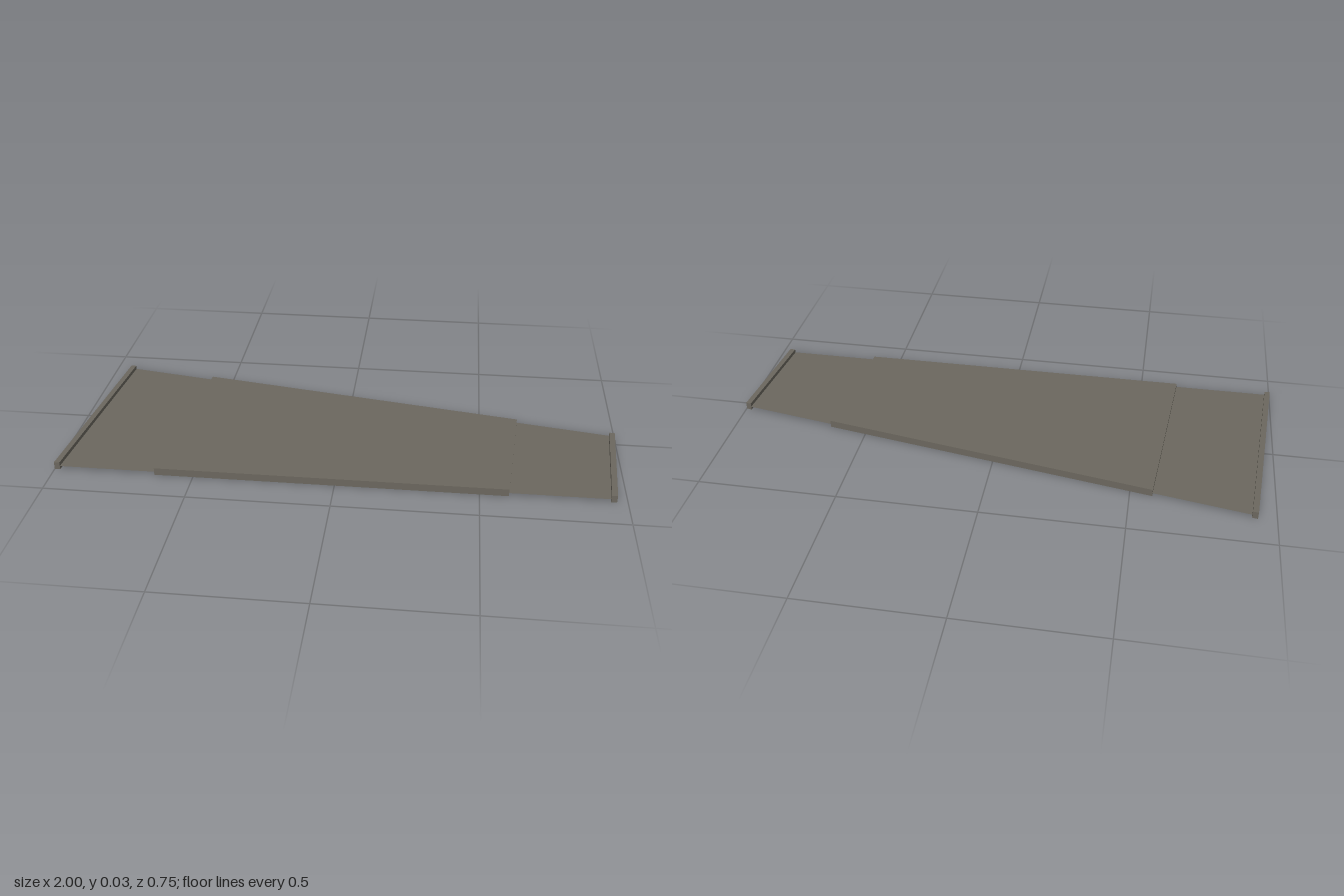
import * as THREE from 'three';

const FRONT = 0.377, LEAN = 0.086, HEIGHT = 0.027;

// Corners of a slanted strip whose front edge runs from x0 to x1,
// clipped at the back by the slanting rear edge.
function stripShape(x0, x1) {
  const rearCorner = (xf) => {
    // rear edge: z = -0.377 + 0.176 * (x + 0.935); side edge: x = xf + LEAN * (FRONT - z)
    const slope = 0.176;
    const z = (-0.377 + slope * (xf + LEAN * FRONT + 0.935)) / (1 + slope * LEAN);
    return new THREE.Vector2(xf + LEAN * (FRONT - z), -z);
  };
  return new THREE.Shape([
    new THREE.Vector2(x0, -FRONT), new THREE.Vector2(x1, -FRONT),
    rearCorner(x1), rearCorner(x0),
  ]);
}

export function createModel() {
  const group = new THREE.Group();
  const metal = new THREE.MeshStandardMaterial({ color: 0x6b675e });
  metal.name = 'warm grey';
  const sheet = new THREE.MeshStandardMaterial({ color: 0x6b675e, side: THREE.DoubleSide });
  sheet.name = 'warm grey sheet';

  const add = (name, geometry, material, y = 0) => {
    geometry.rotateX(-Math.PI / 2);
    const mesh = new THREE.Mesh(geometry, material);
    mesh.name = name;
    mesh.position.y = y;
    group.add(mesh);
  };
  const slab = (name, x0, x1) => add(name,
    new THREE.ExtrudeGeometry(stripShape(x0, x1), { depth: HEIGHT, bevelEnabled: false }), metal);
  const flap = (name, x0, x1) => add(name,
    new THREE.ShapeGeometry(stripShape(x0, x1)), sheet, 0.013);

  // Thick centre panel and the raised lips at both ends
  slab('centrePanel', -0.638, 0.6);
  slab('wideEndLip', -1, -0.98);
  slab('narrowEndLip', 0.943, 0.963);

  // Thin sheets joining the panel to the lips
  flap('wideEndSheet', -0.98, -0.638);
  flap('narrowEndSheet', 0.6, 0.943);

  return group;
}
